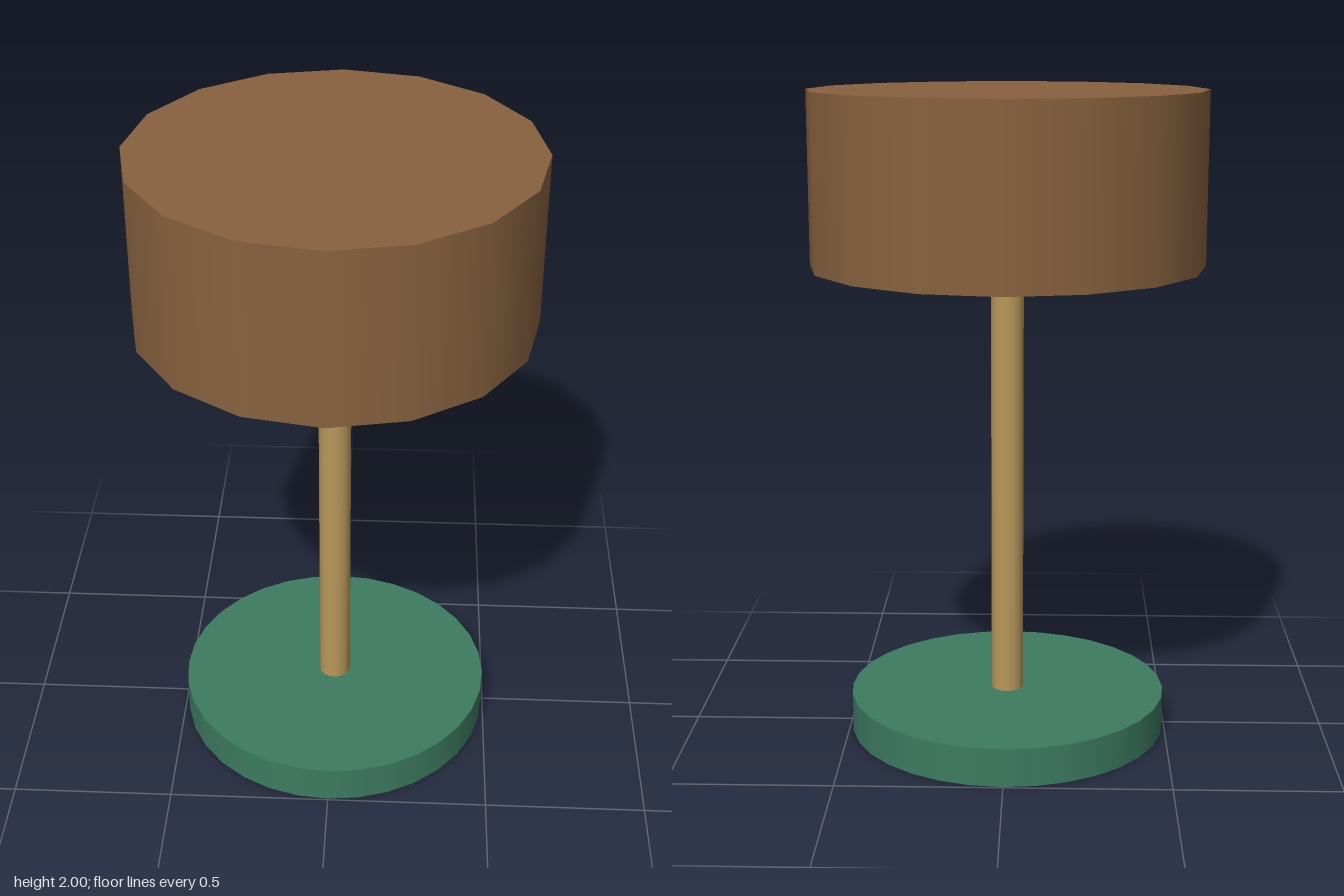
import * as THREE from 'three';

const material = (name, color) => {
  const m = new THREE.MeshStandardMaterial({ color });
  m.name = name;
  return m;
};

export function createModel() {
  const brown = material('shadeBrown', 0x88623f);
  const green = material('baseGreen', 0x3c7b60);
  const brass = material('poleBrass', 0xb8985a);
  const amber = material('bulbAmber', 0xc49a62);

  const lamp = new THREE.Group();
  lamp.name = 'tableLamp';

  const add = (name, geometry, mat, y) => {
    const mesh = new THREE.Mesh(geometry, mat);
    mesh.name = name;
    mesh.position.y = y;
    lamp.add(mesh);
  };

  // Upright drum between two heights
  const drum = (name, radius, bottom, top, sides, mat) =>
    add(name, new THREE.CylinderGeometry(radius, radius, top - bottom, sides), mat, (bottom + top) / 2);

  drum('base', 0.495, 0, 0.12, 32, green);
  drum('pole', 0.05, 0.12, 1.475, 16, brass);
  drum('shade', 0.6, 1.475, 2, 16, brown);

  // Bulb, peeking out under the closed shade
  add('bulb', new THREE.SphereGeometry(0.16, 24, 16), amber, 1.56);

  return lamp;
}
